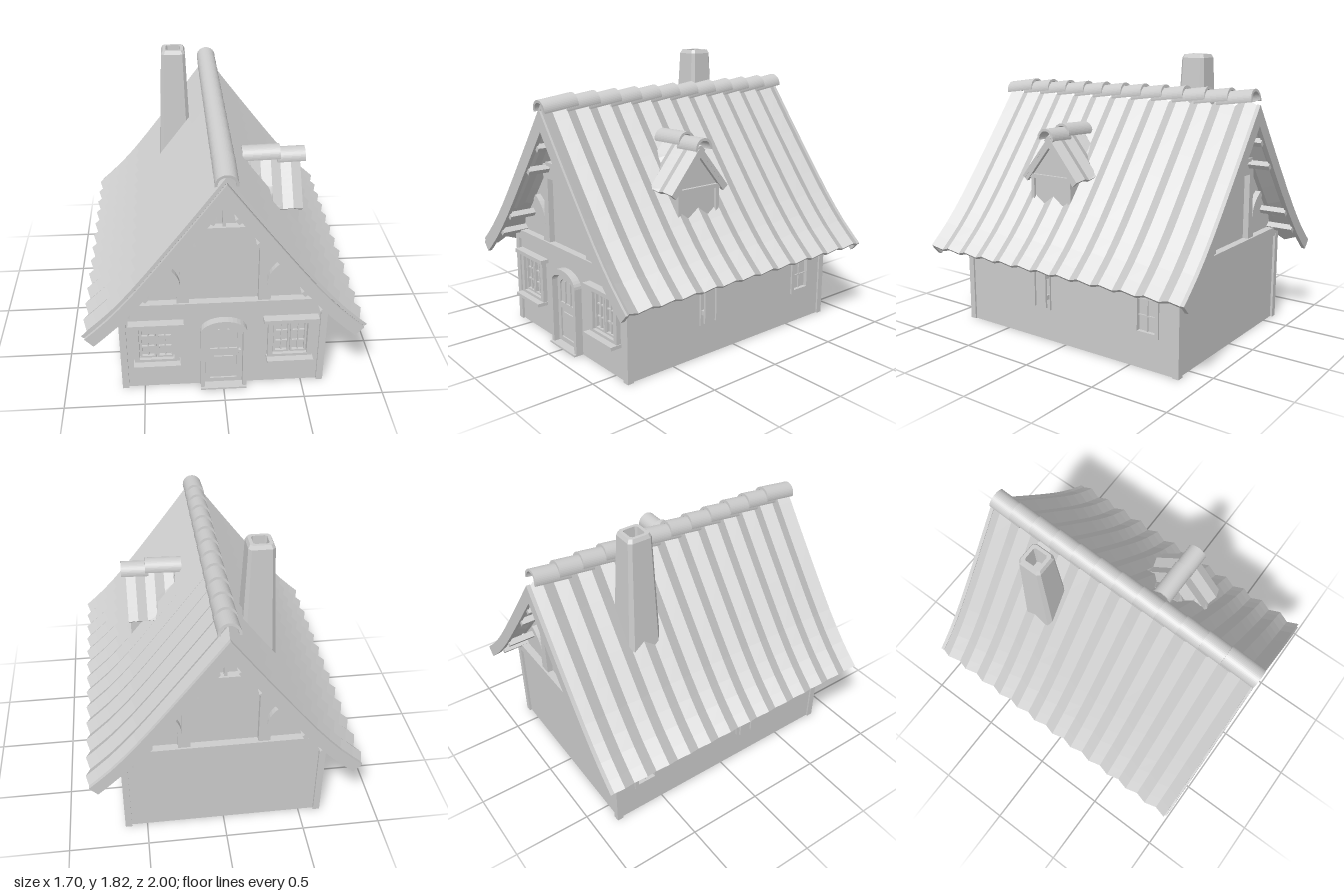
import * as THREE from 'three';

const plaster = new THREE.MeshStandardMaterial({ color: 0xcccccc, side: THREE.DoubleSide });
plaster.name = 'plain grey';

function add(parent, name, geo, x = 0, y = 0, z = 0) {
  const m = new THREE.Mesh(geo, plaster);
  m.name = name;
  m.position.set(x, y, z);
  parent.add(m);
  return m;
}
const box = (p, name, w, h, d, x, y, z) => add(p, name, new THREE.BoxGeometry(w, h, d), x, y, z);

// Extrusion centred on its own depth
function plate(shape, depth) {
  const g = new THREE.ExtrudeGeometry(shape, { depth, bevelEnabled: false, curveSegments: 8 });
  return g.translate(0, 0, -depth / 2);
}
const poly = (pts) => new THREE.Shape(pts.map(([x, y]) => new THREE.Vector2(x, y)));
const rect = (x0, y0, x1, y1) => poly([[x0, y0], [x1, y0], [x1, y1], [x0, y1]]);

// Round-topped opening: half width w, from y0, spring line y1, crown y2
function arch(w, y0, y1, y2, cx = 0) {
  const s = new THREE.Shape();
  s.moveTo(cx - w, y0);
  s.lineTo(cx + w, y0);
  s.lineTo(cx + w, y1);
  s.absellipse(cx, y1, w, y2 - y1, 0, Math.PI, false);
  s.lineTo(cx - w, y0);
  return s;
}
function withHoles(shape, ...holes) {
  shape.holes.push(...holes);
  return shape;
}

// Point on a roof profile, moved d along its outward normal (mitred at the ridge)
function at(curve, t, d) {
  const p = curve.getPoint(t), g = curve.getTangent(t);
  return t === 0 ? [0, p.y + d / g.x] : [p.x - g.y * d, p.y + g.x * d];
}
// Whole roof line from the left eave over the ridge to the right eave
function roofLine(curve, d, n = 10) {
  const right = [];
  for (let i = 0; i <= n; i++) right.push(at(curve, i / n, d));
  return [...right.slice(1).reverse().map(([x, y]) => [-x, y]), ...right];
}
// Gabled slab lofted through stations [z, outer offset, inner offset]
function slab(curve, stations, rule = (x, y, z) => z) {
  const rings = stations.map(([z, a, b]) =>
    [...roofLine(curve, a), ...roofLine(curve, b).reverse()].map(([x, y]) => [x, y, rule(x, y, z)]));
  const out = [], N = rings[0].length;
  const quad = (a, b, c, d) => out.push(...a, ...b, ...c, ...a, ...c, ...d);
  for (let i = 0; i < rings.length - 1; i++)
    for (let j = 0; j < N; j++) {
      const k = (j + 1) % N;
      quad(rings[i][j], rings[i + 1][j], rings[i + 1][k], rings[i][k]);
    }
  const first = rings[0], last = rings[rings.length - 1];
  for (let j = 0; j < N / 2 - 1; j++) {
    quad(last[j], last[N - 1 - j], last[N - 2 - j], last[j + 1]);
    quad(first[j], first[j + 1], first[N - 2 - j], first[N - 1 - j]);
  }
  const g = new THREE.BufferGeometry();
  g.setAttribute('position', new THREE.Float32BufferAttribute(out, 3));
  g.computeVertexNormals();
  return g;
}

// Half-round ridge tile running from z = 0 towards -z
function ridgeTile(r, length) {
  const s = new THREE.Shape();
  s.absarc(0, 0, r, -0.15, Math.PI + 0.15, false);
  s.absarc(0, 0, r - 0.016, Math.PI + 0.15, -0.15, true);
  const g = new THREE.ExtrudeGeometry(s, { depth: length, bevelEnabled: false, curveSegments: 12 });
  return g.translate(0, 0, -length);
}

const V = (x, y) => new THREE.Vector2(x, y);
const mainRoof = new THREE.SplineCurve([V(0, 1.58), V(0.16, 1.365), V(0.35, 1.115), V(0.55, 0.86), V(0.71, 0.68), V(0.85, 0.55)]);
const dormerRoof = new THREE.SplineCurve([V(0, 1.35), V(0.245, 1.055)]);
const roofX = (y) => (1.56 - y) * 0.78;

function frontWindow(p, cx) {
  const w = new THREE.Group();
  w.name = 'frontWindow';
  w.position.x = cx;
  p.add(w);
  add(w, 'windowFrame', plate(withHoles(rect(-0.14, 0.22, 0.14, 0.5), rect(-0.108, 0.24, 0.108, 0.495)), 0.06), 0, 0, 0.835);
  box(w, 'windowSill', 0.29, 0.022, 0.09, 0, 0.211, 0.865);
  box(w, 'windowLintel', 0.34, 0.025, 0.07, 0, 0.512, 0.855);
  box(w, 'glass', 0.216, 0.26, 0.006, 0, 0.367, 0.825);
  for (const s of [-1, 1]) {
    add(w, 'casement', plate(withHoles(rect(-0.05, 0.245, 0.05, 0.49), rect(-0.038, 0.257, 0.038, 0.478)), 0.022), s * 0.053, 0, 0.837);
    box(w, 'glazingBar', 0.008, 0.23, 0.014, s * 0.053, 0.367, 0.834);
    for (const y of [0.325, 0.405]) box(w, 'glazingBar', 0.08, 0.008, 0.014, s * 0.053, y, 0.834);
  }
}

function door(p) {
  const d = new THREE.Group();
  d.name = 'door';
  p.add(d);
  add(d, 'doorFrame', plate(withHoles(arch(0.145, 0, 0.44, 0.53), arch(0.12, 0, 0.435, 0.492)), 0.08), 0, 0, 0.845);
  add(d, 'doorLeaf', plate(arch(0.12, 0, 0.435, 0.492), 0.025), 0, 0, 0.825);
  add(d, 'doorRim', plate(withHoles(arch(0.115, 0.02, 0.43, 0.485), rect(-0.085, 0.05, 0.085, 0.25),
    arch(0.085, 0.29, 0.41, 0.455)), 0.012), 0, 0, 0.842);
  for (const x of [-0.03, 0.03]) box(d, 'doorBar', 0.01, 0.15, 0.012, x, 0.365, 0.842);
  box(d, 'doorPanel', 0.12, 0.15, 0.01, 0, 0.15, 0.841);
  box(d, 'doorHandle', 0.014, 0.04, 0.03, 0.1, 0.27, 0.855);
  box(d, 'threshold', 0.29, 0.012, 0.1, 0, 0.006, 0.85);
}

// Side wall with two arched windows; shape x runs along -z
function sideWall(p, s) {
  const g = new THREE.Group();
  g.name = s > 0 ? 'leftWall' : 'rightWall';
  g.rotation.y = Math.PI / 2;
  p.add(g);
  const centres = [-0.205, 0.62];
  const wall = withHoles(rect(-0.83, 0, 0.83, 0.67), ...centres.map((c) => arch(0.065, 0.235, 0.45, 0.515, c)));
  add(g, 'wall', plate(wall, 0.03), 0, 0, s * 0.615);
  for (const c of centres) {
    add(g, 'archedFrame', plate(withHoles(arch(0.0875, 0.21, 0.45, 0.54), arch(0.062, 0.235, 0.45, 0.513)), 0.045), c, 0, s * 0.619);
    add(g, 'glass', plate(arch(0.065, 0.23, 0.45, 0.516), 0.006), c, 0, s * 0.612);
    box(g, 'glazingBar', 0.008, 0.28, 0.012, c, 0.375, s * 0.619);
    for (const y of [0.33, 0.43]) box(g, 'glazingBar', 0.12, 0.008, 0.012, c, y, s * 0.619);
  }
  // Pair of shutters standing off the front window
  for (const k of [-1, 1]) {
    const leaf = new THREE.Shape();
    leaf.moveTo(k * 0.006, 0.235);
    leaf.lineTo(k * 0.085, 0.235);
    leaf.lineTo(k * 0.085, 0.46);
    leaf.quadraticCurveTo(k * 0.075, 0.53, k * 0.006, 0.54);
    add(g, 'shutter', plate(leaf, 0.014), centres[0], 0, s * 0.673);
    for (const y of [0.3, 0.44]) box(g, 'shutterHinge', 0.025, 0.03, 0.04, centres[0] + k * 0.07, y, s * 0.66);
  }
}

// Timber-framed gable end on the side given by s
function gable(p, s) {
  const g = new THREE.Group();
  g.name = s > 0 ? 'frontGable' : 'backGable';
  p.add(g);
  const top = roofLine(mainRoof, -0.06).filter(([x]) => Math.abs(x) < 0.63);
  add(g, 'gableWall', plate(poly([[-0.62, 0.6], ...top, [0.62, 0.6]].reverse()), 0.02), 0, 0, s * 0.79);
  box(g, 'tieBeam', 1.26, 0.06, 0.06, 0, 0.62, s * 0.82);
  box(g, 'collarBeam', 0.52, 0.09, 0.045, 0, 1.117, s * 0.815);
  box(g, 'upperBeam', 0.42, 0.022, 0.06, 0, 1.17, s * 0.82);
  box(g, 'kingPost', 0.018, 0.25, 0.045, 0, 1.3, s * 0.815);
  for (const k of [-1, 1]) {
    box(g, 'post', 0.05, 0.43, 0.045, k * 0.235, 0.86, s * 0.815);
    const b = new THREE.Shape();
    b.moveTo(k * 0.26, 0.65);
    b.lineTo(k * 0.285, 0.65);
    b.lineTo(k * 0.285, 0.76);
    b.quadraticCurveTo(k * 0.29, 0.85, k * 0.4, 0.9);
    b.lineTo(k * 0.375, 0.935);
    b.quadraticCurveTo(k * 0.26, 0.87, k * 0.26, 0.76);
    add(g, 'curvedBrace', plate(b, 0.045), 0, 0, s * 0.815);
    for (const t of [0.2, 0.33, 0.6, 0.74]) {
      const [x, y] = at(mainRoof, t, -0.105), d = mainRoof.getTangent(t);
      const m = box(g, 'purlinEnd', 0.035, 0.04, 0.19, k * x, y, s * 0.885);
      m.rotation.z = k * Math.atan2(d.y, d.x);
    }
  }
  add(g, 'bargeBoard', slab(mainRoof, [[s * 0.9825 - 0.0125, -0.025, -0.1], [s * 0.9825 + 0.0125, -0.025, -0.1]]));
}

function dormer(p) {
  const g = new THREE.Group();
  g.name = 'dormer';
  g.rotation.y = Math.PI / 2;
  g.position.z = 0.205;
  p.add(g);
  // Everything behind the main roof surface is pulled forward onto it
  const clip = (x, y, z) => Math.max(z, roofX(y) - 0.04);
  const stations = [];
  for (let i = 0; i <= 6; i++) {
    const d = i % 2 ? 0 : -0.025;
    stations.push([0.15 + i * 0.0633, d, d - 0.02]);
  }
  add(g, 'dormerTiles', slab(dormerRoof, stations, clip));
  add(g, 'dormerBargeBoard', slab(dormerRoof, [[0.505, -0.03, -0.07], [0.528, -0.03, -0.07]]));
  const geo = plate(poly([[-0.165, 0.87], [0.165, 0.87], [0.165, 1.09], [0, 1.29], [-0.165, 1.09]]), 0.3).translate(0, 0, 0.35);
  const pos = geo.attributes.position;
  for (let i = 0; i < pos.count; i++) pos.setZ(i, clip(0, pos.getY(i), pos.getZ(i)));
  geo.computeVertexNormals();
  add(g, 'dormerWall', geo);
  box(g, 'dormerBeam', 0.35, 0.025, 0.03, 0, 1.045, 0.505);
  for (const k of [-1, 1]) box(g, 'dormerPost', 0.025, 0.18, 0.02, k * 0.152, 0.955, 0.507);
  add(g, 'dormerRidgeTile', ridgeTile(0.065, 0.24), 0, 1.318, 0.4).rotation.x = -0.03;
  add(g, 'dormerRidgeTile', ridgeTile(0.065, 0.18), 0, 1.3, 0.56).rotation.x = -0.03;
}

// Tapered hollow stack: an eight-sided lathe squared off to chamfered corners
function chimney(p) {
  const prof = [[0.112, 0.95], [0.077, 1.795], [0.066, 1.818], [0.046, 1.818], [0.04, 1.65], [0, 1.65]];
  const geo = new THREE.LatheGeometry(prof.map(([x, y]) => V(x, y)), 8).toNonIndexed();
  const pos = geo.attributes.position;
  for (let i = 0; i < pos.count; i++) {
    const x = pos.getX(i), z = pos.getZ(i), r = Math.hypot(x, z);
    const a = Math.round(Math.atan2(z, x) / (Math.PI / 4)) + 8;
    const corner = (Math.floor(a / 2) + 0.5) * Math.PI / 2;
    const q = corner + (a % 2 ? 0.13 : -0.13);
    pos.setX(i, Math.cos(q) * r * 1.32);
    pos.setZ(i, Math.sin(q) * r * 1.32);
  }
  geo.computeVertexNormals();
  add(p, 'chimney', geo, -0.25, 0, -0.415).scale.x = 0.98;
}

export function createModel() {
  const house = new THREE.Group();
  house.name = 'cottage';

  // Lower walls and corner posts
  const front = withHoles(rect(-0.62, 0, 0.62, 0.62), arch(0.12, 0.001, 0.435, 0.492),
    rect(-0.523, 0.24, -0.307, 0.495), rect(0.307, 0.24, 0.523, 0.495));
  add(house, 'frontWall', plate(front, 0.03), 0, 0, 0.82);
  add(house, 'backWall', plate(rect(-0.62, 0, 0.62, 0.62), 0.03), 0, 0, -0.82);
  for (const s of [-1, 1]) {
    for (const z of [-0.83, 0.83]) box(house, 'cornerPost', 0.042, 0.62, 0.042, s * 0.621, 0.31, z);
    sideWall(house, s);
    frontWindow(house, s * 0.415);
    gable(house, s);
  }
  door(house);

  // Corrugated tile roof
  const stations = [], half = 0.07875;
  for (let i = 0; i <= 25; i++) {
    const d = i % 2 ? 0 : -0.035;
    stations.push([(i - 12.5) * half, d, d - 0.02]);
  }
  add(house, 'roofTiles', slab(mainRoof, stations));
  for (let i = 0; i < 12; i++)
    add(house, 'ridgeTile', ridgeTile(0.066, 0.235), 0, 1.536, 0.996 - i * 0.1572).rotation.x = 0.127;

  dormer(house);
  chimney(house);
  return house;
}
